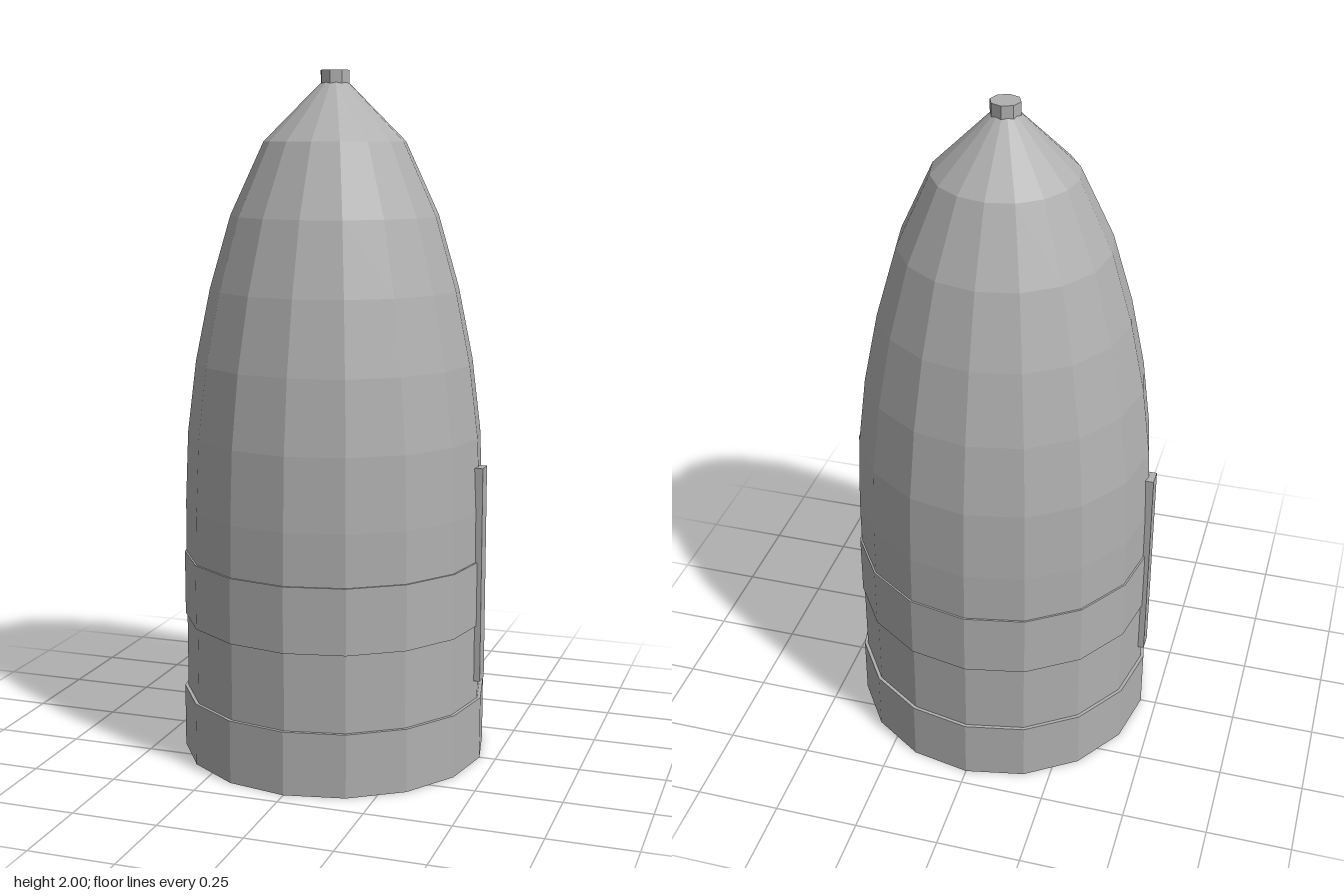
import * as THREE from 'three';

export function createModel() {
  const model = new THREE.Group();
  model.name = 'noseFairing';
  const grey = new THREE.MeshStandardMaterial({ color: 0xb0b0b0 });
  grey.name = 'fairing grey';

  // Adds a part with flat facets
  function add(name, geometry) {
    const flat = geometry.index ? geometry.toNonIndexed() : geometry;
    flat.computeVertexNormals();
    const mesh = new THREE.Mesh(flat, grey);
    mesh.name = name;
    model.add(mesh);
    return mesh;
  }

  // Sixteen-sided turned part from [radius, height] pairs
  const turned = (profile) =>
    new THREE.LatheGeometry(profile.map(([r, y]) => new THREE.Vector2(r, y)), 16);

  // Ogive shell, closed underneath by a bulkhead above the open skirt
  add('shell', turned([
    [0, 0.18], [0.442, 0.18], [0.442, 0.54], [0.441, 0.75], [0.432, 0.96], [0.406, 1.17],
    [0.363, 1.38], [0.302, 1.59], [0.205, 1.8], [0.04, 1.965], [0, 1.965],
  ]));

  // Hollow base skirt
  add('baseSkirt', turned([
    [0.438, 0.18], [0.438, 0], [0.452, 0], [0.452, 0.185], [0.436, 0.185],
  ]));

  // Raised band round the lower shell
  add('band', turned([[0.436, 0.41], [0.447, 0.41], [0.447, 0.6], [0.436, 0.6]]));

  // Tip cap
  add('tipCap', new THREE.CylinderGeometry(0.043, 0.043, 0.042, 8)).position.y = 1.979;

  // Side rails
  for (const [name, side] of [['leftRail', 1], ['rightRail', -1]]) {
    add(name, new THREE.BoxGeometry(0.025, 0.635, 0.05)).position.set(side * 0.4425, 0.56, 0);
  }

  return model;
}
